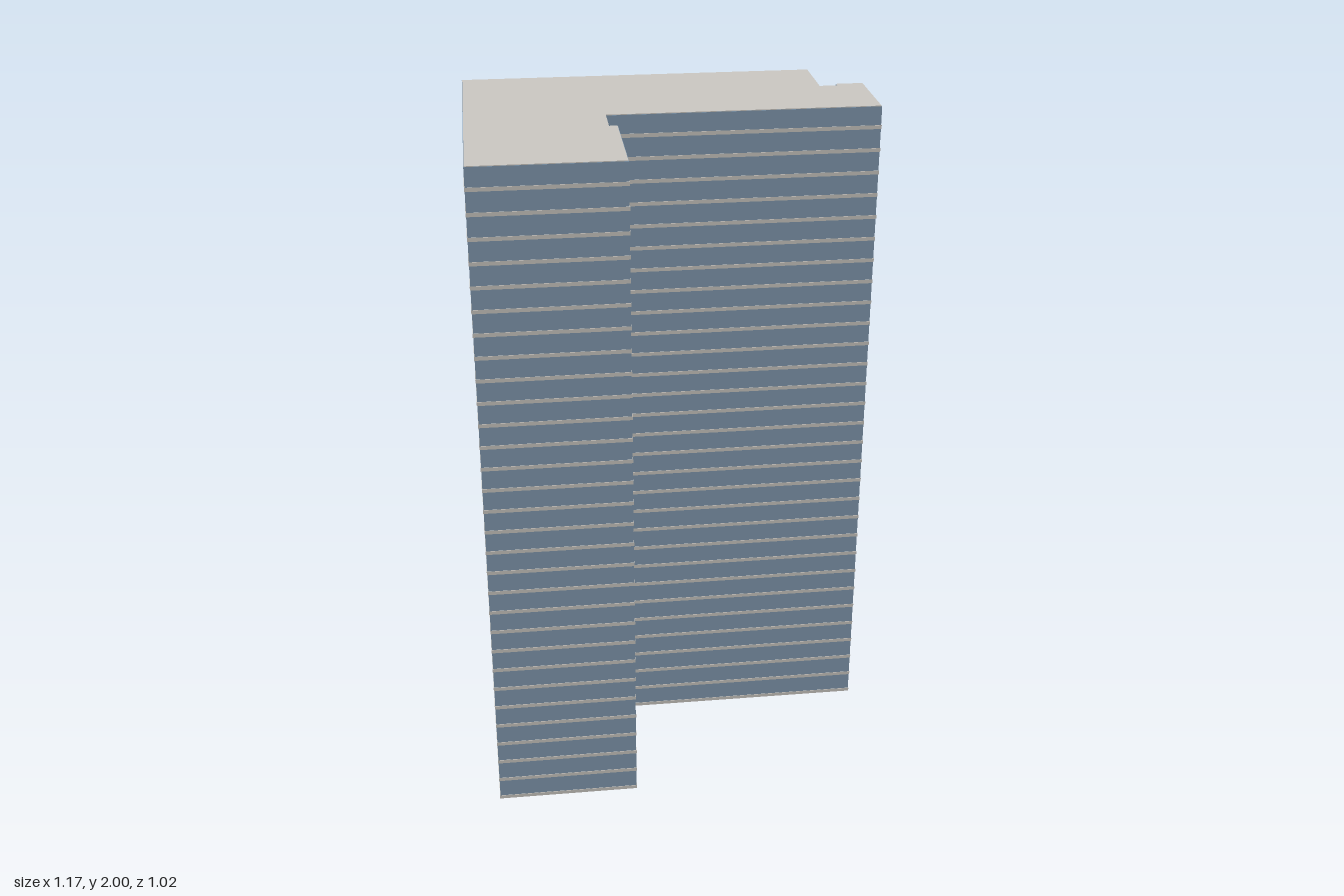
import * as THREE from 'three';
import { mergeGeometries } from 'three/addons/utils/BufferGeometryUtils.js';

const FLOOR = 2 / 30;

const mat = (name, color) => {
  const m = new THREE.MeshStandardMaterial({ color });
  m.name = name;
  return m;
};

// Outline corners [x, z, glazed]; the flag belongs to the wall that starts at the corner.
const TOWER = [
  [-0.584, -0.327, true],
  [0.225, -0.327, false],
  [0.452, -0.327, false],
  [0.452, -0.138, false],
  [0.505, -0.138, false],
  [0.505, -0.155, true],
  [0.583, -0.155, true],
  [0.583, 0.088, true],
  [-0.193, 0.088, false],
  [-0.193, 0.195, false],
  [-0.17, 0.195, true],
  [-0.17, 0.505, true],
  [-0.584, 0.505, true],
];

const ANNEX = [
  [0.227, -0.507, true],
  [0.582, -0.507, true],
  [0.582, -0.329, true],
  [0.455, -0.329, false],
  [0.227, -0.329, true],
];

function prism(outline, height) {
  const shape = new THREE.Shape(outline.map(([x, z]) => new THREE.Vector2(x, -z)));
  const g = new THREE.ExtrudeGeometry(shape, { depth: height, bevelEnabled: false });
  return g.rotateX(-Math.PI / 2);
}

// Plate centred on a wall line, standing out by `out` and covering y0 to y1
function wallPlate([ax, az], [bx, bz], y0, y1, out) {
  const dx = bx - ax, dz = bz - az;
  const g = new THREE.BoxGeometry(Math.hypot(dx, dz) + 2 * out, y1 - y0, 2 * out);
  g.rotateY(Math.atan2(-dz, dx));
  return g.translate((ax + bx) / 2, (y0 + y1) / 2, (az + bz) / 2);
}

function building(name, outline, floors, concrete, glass) {
  const group = new THREE.Group();
  group.name = name;
  const height = floors * FLOOR;
  const add = (part, geometry, material) => {
    const mesh = new THREE.Mesh(geometry, material);
    mesh.name = part;
    group.add(mesh);
  };

  const panes = [], slabs = [];
  outline.forEach((a, i) => {
    if (!a[2]) return;
    const b = outline[(i + 1) % outline.length];
    panes.push(wallPlate(a, b, 0.002, height - 0.002, 0.0015));
    for (let k = 0; k < floors; k++) {
      slabs.push(wallPlate(a, b, k * FLOOR, k * FLOOR + 0.011, 0.003));
    }
  });

  add('concreteBody', prism(outline, height), concrete);
  add('glassFacade', mergeGeometries(panes), glass);
  add('floorSlabEdges', mergeGeometries(slabs), concrete);
  return group;
}

export function createModel() {
  const concrete = mat('concrete', 0xc8c5c0);
  const glass = mat('blueGlass', 0x7f97ad);
  const grass = mat('roofGrass', 0x7fae50);

  const model = new THREE.Group();
  model.name = 'officeTower';
  model.add(building('mainTower', TOWER, 30, concrete, glass));

  // Lower block with a planted roof
  const annex = building('annex', ANNEX, 28, concrete, glass);
  const roof = new THREE.Mesh(prism(ANNEX, 0.004), grass);
  roof.name = 'greenRoof';
  roof.position.y = 28 * FLOOR - 0.001;
  annex.add(roof);
  model.add(annex);

  return model;
}
